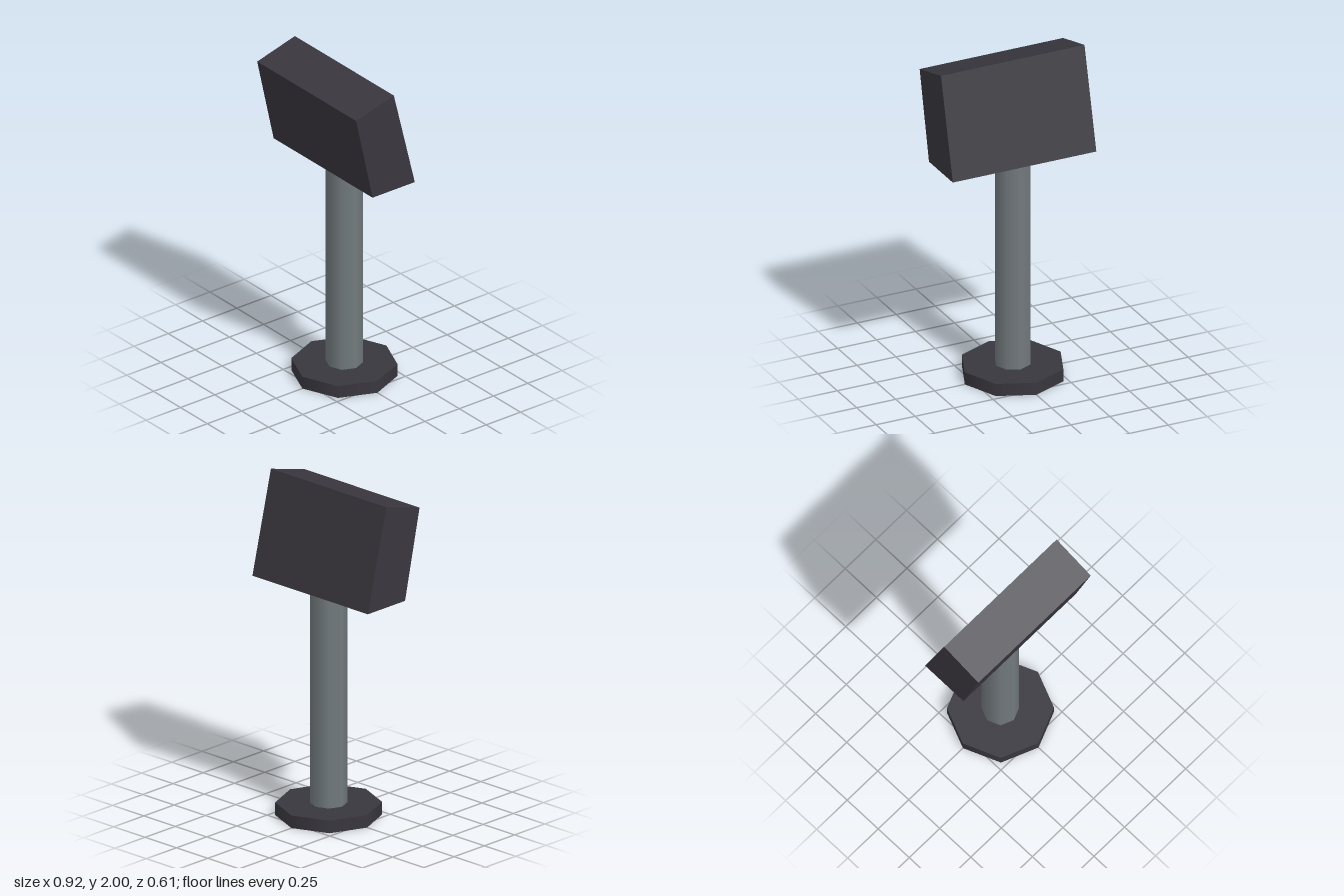
import * as THREE from 'three';

const SIDES = 8;

export function createModel() {
  const group = new THREE.Group();
  const charcoal = new THREE.MeshStandardMaterial({ color: 0x39373e });
  charcoal.name = 'charcoal';
  const steel = new THREE.MeshStandardMaterial({ color: 0x727a7d });
  steel.name = 'steelGrey';

  const add = (name, geometry, material) => {
    const mesh = new THREE.Mesh(geometry, material);
    mesh.name = name;
    group.add(mesh);
  };
  // upright eight-sided cylinder between two heights
  const column = (radius, bottom, top) =>
    new THREE.CylinderGeometry(radius, radius, top - bottom, SIDES).translate(0, (bottom + top) / 2, 0);

  add('base', column(0.307, 0, 0.077), charcoal);
  add('pole', column(0.108, 0.077, 1.386), steel);

  // leaning head: side profile (z, y) swept across x
  const width = 0.92;
  const profile = new THREE.Shape([
    [-0.153, 1.386], [0.155, 1.386], [0.275, 1.925], [0, 2],
  ].map(([z, y]) => new THREE.Vector2(z, y)));
  const head = new THREE.ExtrudeGeometry(profile, { depth: width, bevelEnabled: false });
  head.translate(0, 0, -width / 2).rotateY(-Math.PI / 2);
  add('head', head, charcoal);

  return group;
}
